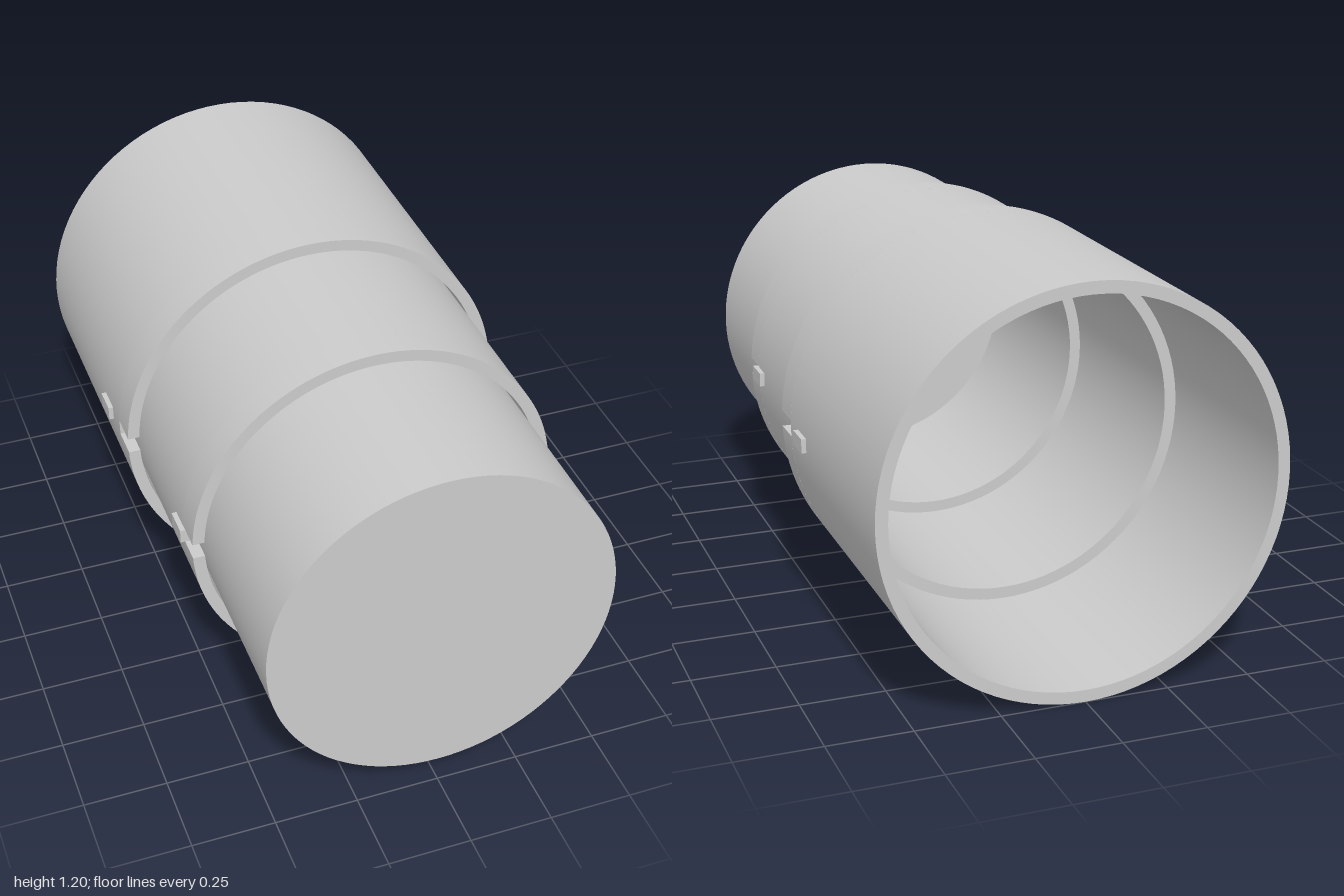
import * as THREE from 'three';
import { toCreasedNormals } from 'three/addons/utils/BufferGeometryUtils.js';

const material = new THREE.MeshStandardMaterial({ color: 0xcccccc });
const AXIS_Y = 0.602;   // height of the tube axis
const NOTCH_HALF = 0.025;
const NOTCH_DEPTH = 0.1;

function addMesh(parent, name, geometry) {
  const mesh = new THREE.Mesh(geometry, material);
  mesh.name = name;
  parent.add(mesh);
  return mesh;
}

// Extrude a flat shape along z between two depths
function extrudeBetween(shape, z0, z1) {
  const g = new THREE.ExtrudeGeometry(shape, { depth: z1 - z0, bevelEnabled: false, curveSegments: 48 });
  g.translate(0, 0, z0);
  return toCreasedNormals(g, 0.5);
}

// Full ring cross-section
function ringShape(outer, inner) {
  const shape = new THREE.Shape().absarc(0, 0, outer, 0, Math.PI * 2, false);
  shape.holes.push(new THREE.Path().absarc(0, 0, inner, 0, Math.PI * 2, true));
  return shape;
}

// Upper half of the ring, leaving a parallel-sided slot at each side
function halfRingShape(outer, inner) {
  const a = Math.asin(NOTCH_HALF / outer), b = Math.asin(NOTCH_HALF / inner);
  const shape = new THREE.Shape();
  shape.absarc(0, 0, outer, a, Math.PI - a, false);
  shape.absarc(0, 0, inner, Math.PI - b, b, true);
  shape.closePath();
  return shape;
}

// Open sleeve with a notch on each side of its front rim
function notchedSleeve(name, outer, inner, back, front) {
  const group = new THREE.Group();
  group.name = name;
  const notchEnd = front - NOTCH_DEPTH;
  addMesh(group, 'sleeveWall', extrudeBetween(ringShape(outer, inner), back, notchEnd));
  const half = extrudeBetween(halfRingShape(outer, inner), notchEnd, front);
  addMesh(group, 'upperRim', half);
  addMesh(group, 'lowerRim', half).rotation.z = Math.PI;
  return group;
}

// Pair of locking pegs passing outwards through the surrounding sleeve
function addPegs(section, inner, outer, back, front) {
  for (const side of [1, -1]) {
    const peg = addMesh(section, side > 0 ? 'leftPeg' : 'rightPeg',
      new THREE.BoxGeometry(outer - inner, 0.043, front - back));
    peg.position.set(side * (inner + outer) / 2, 0, (back + front) / 2);
  }
}

export function createModel() {
  const model = new THREE.Group();
  model.name = 'telescopicTube';

  // Three nested sections, wide at the back
  const outerSection = notchedSleeve('outerSection', 0.602, 0.566, -1, -0.078);
  const middleSection = notchedSleeve('middleSection', 0.56, 0.524, -0.36, 0.463);
  addPegs(middleSection, 0.545, 0.616, -0.342, -0.256);

  // Innermost section: a cup closed at the front
  const innerSection = new THREE.Group();
  innerSection.name = 'innerSection';
  const profile = [[0, 0.964], [0.482, 0.964], [0.482, 0.283], [0.518, 0.283], [0.518, 1], [0, 1]]
    .map(([r, z]) => new THREE.Vector2(r, z));
  const cup = new THREE.LatheGeometry(profile, 96);
  cup.rotateX(Math.PI / 2);
  addMesh(innerSection, 'closedCup', toCreasedNormals(cup, 0.5));
  addPegs(innerSection, 0.503, 0.574, 0.3, 0.387);

  for (const section of [outerSection, middleSection, innerSection]) {
    section.position.y = AXIS_Y;
    model.add(section);
  }
  return model;
}
